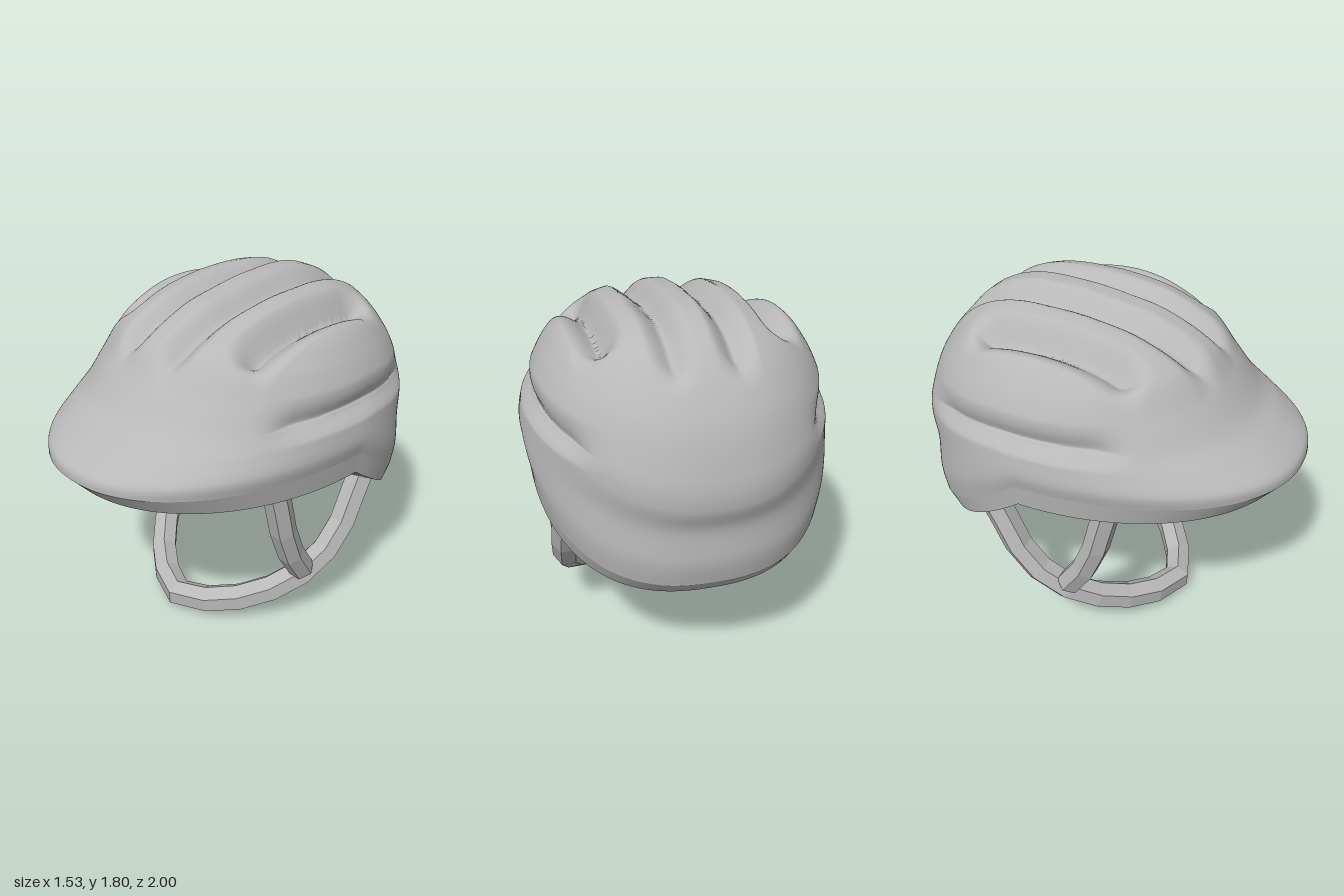
import * as THREE from 'three';
import { mergeVertices } from 'three/addons/utils/BufferGeometryUtils.js';

const ZC = -0.18; // widest station of the helmet

// Loops: [front z, front y, half width, side y, back z, back y, rear rim sweep]
const SHELL = [
  [1.0, 1.09, 0.75, 1.065, -0.95, 0.63, 1],
  [0.98, 1.15, 0.765, 1.14, -0.97, 0.75, 0.8],
  [0.86, 1.23, 0.757, 1.22, -0.965, 0.92, 0.4],
  [0.73, 1.31, 0.738, 1.31, -1.0, 1.05, 0],
  [0.6, 1.46, 0.715, 1.40, -0.985, 1.2, 0],
  [0.47, 1.62, 0.64, 1.55, -0.9, 1.44, 0],
  [0.24, 1.73, 0.53, 1.67, -0.72, 1.67, 0],
  [0.04, 1.77, 0.3, 1.76, -0.48, 1.785, 0],
  [ZC, 1.8, 0, 1.8, ZC, 1.8, 0],
];
const RIM = [0.92, 1.0, 0.735, 0.95, -0.88, 0.55, 1];
const INNER_RIM = [0.56, 0.955, 0.59, 0.92, -0.76, 0.565, 1];
const LINER = [
  [ZC, 1.66, 0, 1.66, ZC, 1.66, 0],
  [0.08, 1.62, 0.3, 1.6, -0.48, 1.62, 0],
  [0.33, 1.43, 0.54, 1.4, -0.76, 1.4, 0],
  [0.5, 1.15, 0.61, 1.12, -0.82, 0.95, 0.7],
  INNER_RIM,
];

const clamp01 = (t) => Math.min(1, Math.max(0, t));

// Smooth interpolation between neighbouring loops
function loopAt(rows, t) {
  const i = Math.min(rows.length - 2, Math.floor(t));
  const u = t - i;
  const at = (k) => rows[Math.min(rows.length - 1, Math.max(0, k))];
  return rows[0].map((_, c) => {
    const a = at(i - 1)[c], b = at(i)[c], d = at(i + 1)[c], e = at(i + 2)[c];
    return b + 0.5 * u * (d - a + u * (2 * a - 5 * b + 4 * d - e + u * (3 * (b - d) + e - a)));
  });
}

// Point on one loop at an angle measured from the front; the back is a little squarer
function loopPoint([zf, yf, w, ys, zb, yb, k], angle) {
  const s = Math.sin(angle), c = Math.cos(angle), ac = Math.abs(c);
  const x = w * Math.sign(s) * Math.pow(Math.abs(s), c > 0 ? 0.92 : 0.87);
  const z = ZC + ac * ((c > 0 ? zf : zb) - ZC);
  const sweep = k * (1 - Math.pow(1 - ac, 1.3)) + (1 - k) * c * c;
  const y = c > 0 ? ys + (yf - ys) * c * c : ys + (yb - ys) * sweep;
  return new THREE.Vector3(x, y, z);
}

// Notch profile with separate widths on its two sides and a slightly rounded floor
function notch(d, below, above) {
  const t = clamp01(1 - Math.hypot(d, 0.015) / (d < 0 ? below : above));
  return Math.pow(t, 1.4);
}
const along = (z, back, front, fade) =>
  THREE.MathUtils.smoothstep(z, back, back + fade) * (1 - THREE.MathUtils.smoothstep(z, front - fade, front));

// Ventilation grooves: two pairs on the crown and one pair on the sides
function carve(p) {
  const ax = Math.abs(p.x), y = p.y;
  p.y -= 0.105 * notch(ax - 0.14, 0.1, 0.11) * along(p.z, -0.84, 0.6, 0.18);
  p.y -= 0.14 * notch(ax - 0.41, 0.09, 0.14) * along(p.z, -0.6, 0.36, 0.16);
  const crease = 1.315 - 0.06 * clamp01((-p.z - 0.3) / 0.5);
  p.x -= Math.sign(p.x) * 0.065 * notch(y - crease, 0.07, 0.13) * along(p.z, -0.84, 0.4, 0.25);
  return p;
}

// Skin a stack of loops
function skin(rows, around, steps, rule = (p) => p) {
  const pos = [], index = [];
  for (let j = 0; j <= steps; j++) {
    const loop = loopAt(rows, (j / steps) * (rows.length - 1));
    for (let i = 0; i < around; i++) {
      pos.push(...rule(loopPoint(loop, (i / around) * Math.PI * 2)).toArray());
      if (j === steps) continue;
      const a = j * around + i, b = j * around + ((i + 1) % around);
      index.push(a, b, b + around, a, b + around, a + around);
    }
  }
  let geo = new THREE.BufferGeometry();
  geo.setAttribute('position', new THREE.Float32BufferAttribute(pos, 3));
  geo.setIndex(index);
  geo = mergeVertices(geo, 1e-5);
  geo.computeVertexNormals();
  return geo;
}

// Six-sided strap with flat facets following a path
function strap(points, segments, radius) {
  const path = new THREE.CatmullRomCurve3(points.map((p) => new THREE.Vector3(...p)));
  const geo = new THREE.TubeGeometry(path, segments, radius, 6, false).toNonIndexed();
  geo.computeVertexNormals();
  return geo;
}

export function createModel() {
  const group = new THREE.Group();
  const grey = new THREE.MeshStandardMaterial({ color: 0xb8b8b8 });
  grey.name = 'plain grey';
  const add = (name, geo) => {
    const mesh = new THREE.Mesh(geo, grey);
    mesh.name = name;
    group.add(mesh);
  };

  // Helmet body
  add('outerShell', skin(SHELL, 240, 144, carve));
  add('rimBand', skin([RIM, SHELL[0]], 240, 1));
  add('rimUnderside', skin([INNER_RIM, RIM], 240, 1));
  add('innerLiner', skin(LINER, 240, 20));

  // Chin strap, mirrored from its left half
  const half = [
    [0.23, 0.105, 0.27], [0.42, 0.185, 0.1], [0.545, 0.31, -0.08],
    [0.59, 0.475, -0.25], [0.595, 0.67, -0.35], [0.6, 0.87, -0.45],
  ];
  const right = half.map(([x, y, z]) => [-x, y, z]).reverse();
  add('chinStrap', strap([...right, [0, 0.077, 0.375], ...half], 16, 0.075));

  // Front straps joining the chin strap
  for (const [side, s] of [['left', 1], ['right', -1]]) {
    add(side + 'FrontStrap', strap([
      [s * 0.57, 1.04, 0.25], [s * 0.57, 0.8, 0.185], [s * 0.565, 0.57, 0.12], [s * 0.55, 0.34, -0.02],
    ], 4, 0.07));
  }
  return group;
}
